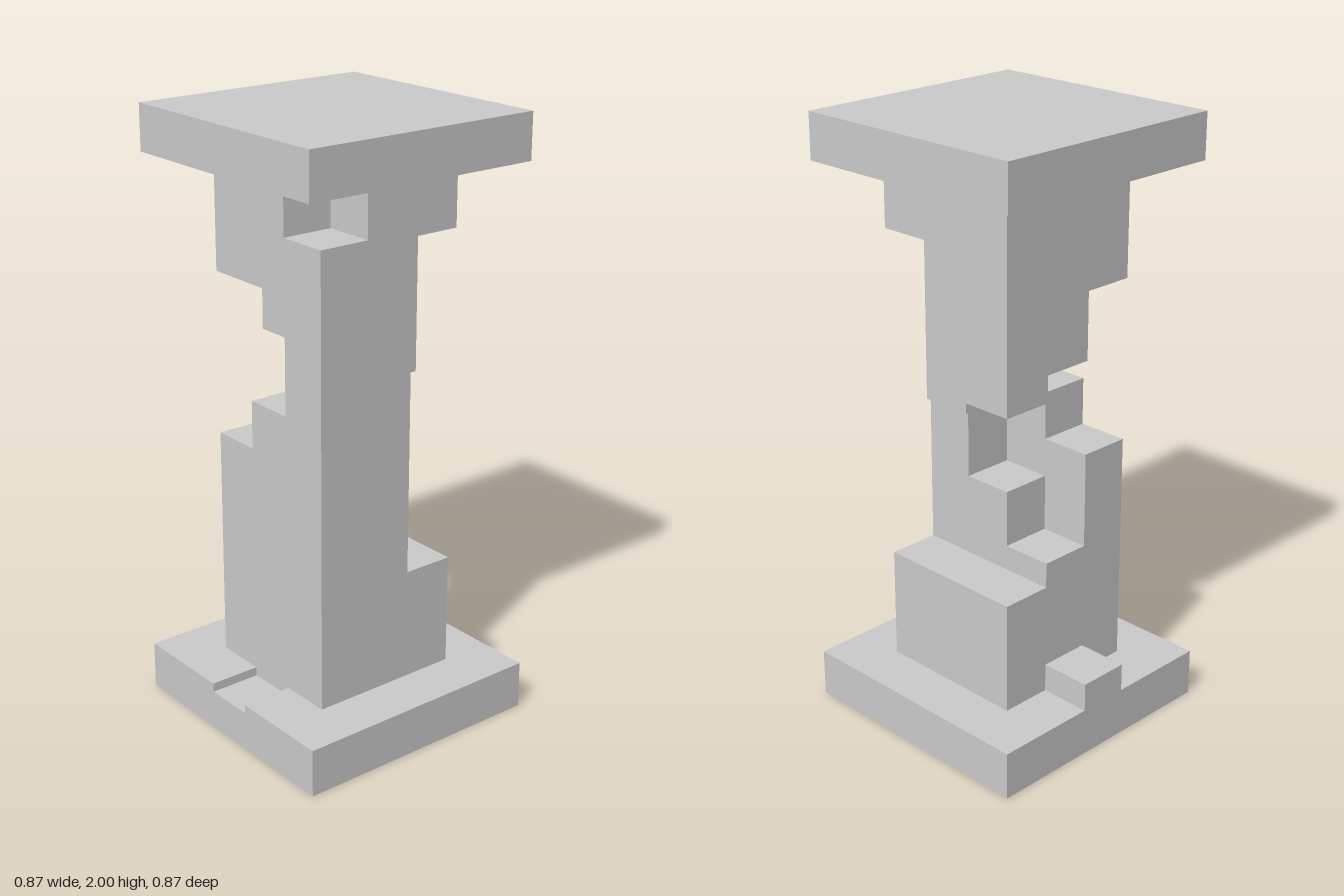
import * as THREE from 'three';

const material = new THREE.MeshStandardMaterial({ color: 0xcccccc, flatShading: true });

// Parts of the span [a, b] not covered by any of the given spans
function uncovered([a, b], spans) {
  let open = [[a, b]];
  for (const [c, d] of spans) {
    open = open.flatMap(([p, q]) => [[p, Math.min(q, c)], [Math.max(p, d), q]].filter(([s, t]) => t - s > 1e-6));
  }
  return open;
}

// Outer skin of a grid of square piers; cells[row][col] lists the solid [bottom, top] spans.
// Rows run from back (-z) to front (+z), columns from -x to +x.
function pierBlock(name, lines, cells) {
  const pos = [];
  const quad = (a, b, c, d) => pos.push(...a, ...b, ...c, ...a, ...c, ...d);
  const spansAt = (r, c) => cells[r]?.[c] ?? [];
  cells.forEach((row, r) => row.forEach((spans, c) => {
    const [x0, x1, z0, z1] = [lines[c], lines[c + 1], lines[r], lines[r + 1]];
    // Each side as its left and right edge seen from outside, with the neighbour it meets
    const sides = [
      [x0, z1, x1, z1, r + 1, c], [x1, z1, x1, z0, r, c + 1],
      [x1, z0, x0, z0, r - 1, c], [x0, z0, x0, z1, r, c - 1],
    ];
    for (const [y0, y1] of spans) {
      quad([x0, y1, z1], [x1, y1, z1], [x1, y1, z0], [x0, y1, z0]);
      quad([x0, y0, z0], [x1, y0, z0], [x1, y0, z1], [x0, y0, z1]);
      for (const [ax, az, bx, bz, nr, nc] of sides) {
        for (const [s, t] of uncovered([y0, y1], spansAt(nr, nc))) {
          quad([ax, s, az], [bx, s, bz], [bx, t, bz], [ax, t, az]);
        }
      }
    }
  }));
  const geometry = new THREE.BufferGeometry();
  geometry.setAttribute('position', new THREE.Float32BufferAttribute(pos, 3));
  geometry.computeVertexNormals();
  const mesh = new THREE.Mesh(geometry, material);
  mesh.name = name;
  return mesh;
}

export function createModel() {
  const group = new THREE.Group();
  group.name = 'brokenPillar';
  const floor = 0.16, ceiling = 1.85;

  // Base slab with a chipped front edge and a raised stone on one side
  const baseCells = Array.from({ length: 5 }, () => Array.from({ length: 5 }, () => [[0, floor]]));
  baseCells[4][2] = [[0, 0.13]];
  baseCells[2][0] = [[0, 0.255]];
  group.add(pierBlock('base', [-0.436, -0.262, -0.087, 0.087, 0.262, 0.436], baseCells));

  // Shaft of nine piers: each has a stump top and a hanging bottom, or runs through
  const broken = (stump, hang) => [[floor, stump], [hang, ceiling]];
  group.add(pierBlock('shaft', [-0.262, -0.087, 0.087, 0.262], [
    [broken(0.535, 1.165), broken(0.535, 1.13), broken(0.535, 1.64)],
    [broken(0.62, 1.255), broken(0.81, 1.32), [[floor, ceiling]]],
    [broken(0.94, 1.48), broken(1.1, 1.48), [[floor, 1.66]]],
  ]));

  // Square cap slab
  const cap = new THREE.Mesh(new THREE.BoxGeometry(0.834, 2 - ceiling, 0.837), material);
  cap.name = 'cap';
  cap.position.set(-0.002, (2 + ceiling) / 2, 0.003);
  group.add(cap);

  return group;
}
